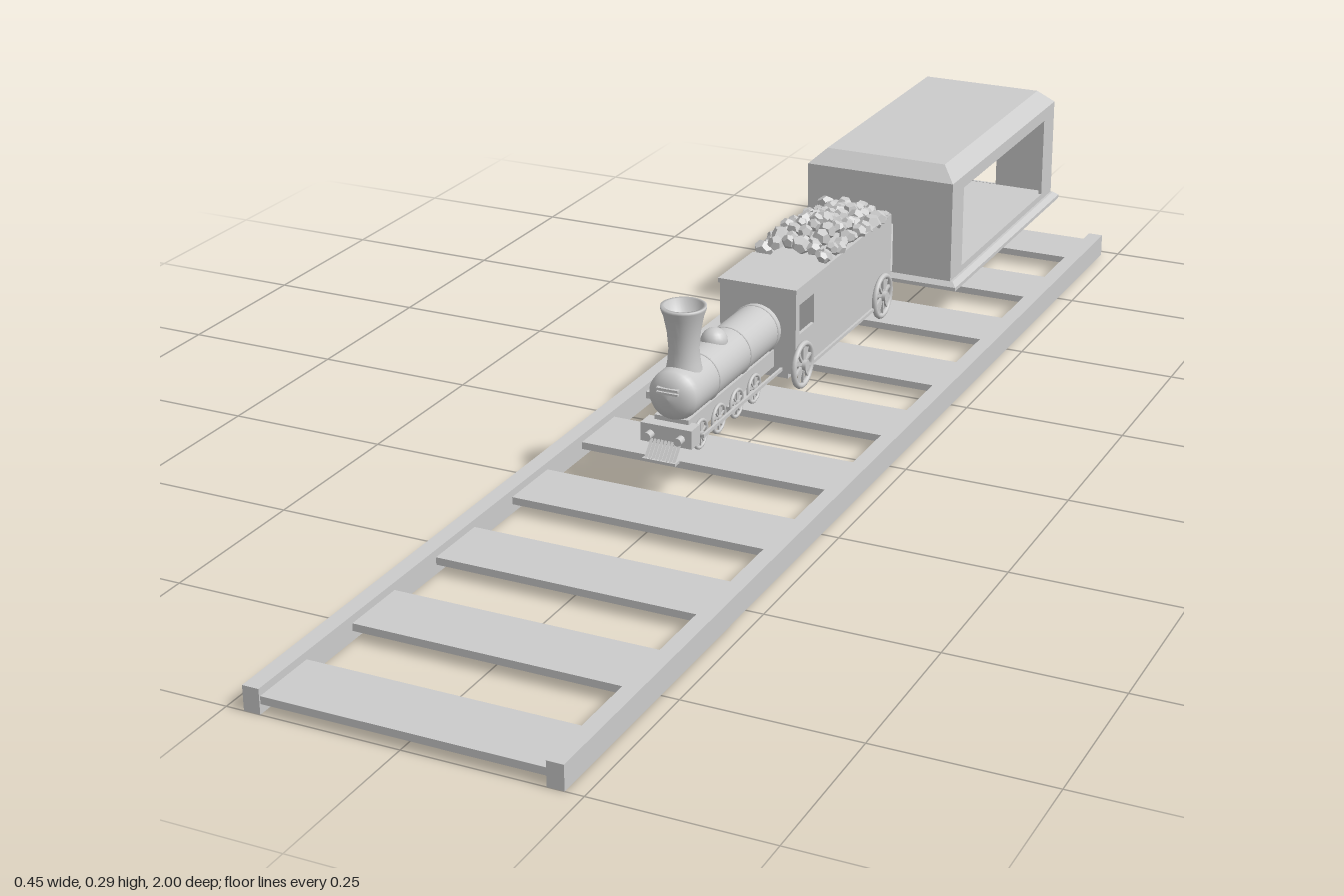
import * as THREE from 'three';

const grey = new THREE.MeshStandardMaterial({ color: 0xcccccc, side: THREE.DoubleSide });
const flat = new THREE.MeshStandardMaterial({ color: 0xcccccc, flatShading: true });

function add(parent, name, geo, x = 0, y = 0, z = 0, mat = grey) {
  const m = new THREE.Mesh(geo, mat);
  m.name = name;
  m.position.set(x, y, z);
  parent.add(m);
  return m;
}

// Box given by its limits
function block(parent, name, x0, x1, y0, y1, z0, z1) {
  return add(parent, name, new THREE.BoxGeometry(x1 - x0, y1 - y0, z1 - z0),
    (x0 + x1) / 2, (y0 + y1) / 2, (z0 + z1) / 2);
}

// Box whose top is inset on all four sides
function taperedBlock(w, h, d, inset) {
  const g = new THREE.BoxGeometry(w, h, d);
  const p = g.attributes.position;
  for (let i = 0; i < p.count; i++) {
    if (p.getY(i) > 0) {
      p.setX(i, p.getX(i) - Math.sign(p.getX(i)) * inset);
      p.setZ(i, p.getZ(i) - Math.sign(p.getZ(i)) * inset);
    }
  }
  g.computeVertexNormals();
  return g;
}

// Thin wall of width w from y0 to y1 with one rectangular hole [u0, u1, v0, v1]
function wallGeometry(w, y0, y1, [u0, u1, v0, v1], t) {
  const rect = (S, a, b, c, d) => new S().moveTo(a, c).lineTo(b, c).lineTo(b, d).lineTo(a, d).closePath();
  const s = rect(THREE.Shape, -w / 2, w / 2, y0, y1);
  s.holes.push(rect(THREE.Path, u0, u1, v0, v1));
  return new THREE.ExtrudeGeometry(s, { depth: t, bevelEnabled: false }).translate(0, 0, -t / 2);
}

function buildTrack() {
  const track = new THREE.Group();
  track.name = 'track';
  for (const s of [-1, 1]) {
    add(track, 'rail', new THREE.BoxGeometry(0.024, 0.036, 1.985), s * 0.212, 0.018, 0.0075);
  }
  for (let i = 0; i < 10; i++) {
    add(track, 'sleeper', new THREE.BoxGeometry(0.402, 0.011, 0.103), 0, 0.0195, -0.932 + i * 0.2087);
  }
  return track;
}

function buildCarriage() {
  const car = new THREE.Group();
  car.name = 'carriage';
  car.position.set(-0.003, 0, -0.745);
  const w = 0.253, d = 0.492, t = 0.005;
  add(car, 'floor', taperedBlock(0.277, 0.007, 0.508, 0.008), 0, 0.098, 0);
  add(car, 'floorEdge', new THREE.BoxGeometry(0.277, 0.006, 0.508), 0, 0.0915, 0);
  add(car, 'floorBase', new THREE.BoxGeometry(0.262, 0.004, 0.494), 0, 0.0875, 0);
  for (const s of [-1, 1]) {
    const side = add(car, 'sideWall', wallGeometry(d, 0.1, 0.267, [-0.195, 0.195, 0.112, 0.246], t), s * (w - t) / 2);
    side.rotation.y = Math.PI / 2;
    add(car, 'endWall', wallGeometry(w, 0.1, 0.267, [-0.025, 0.025, 0.102, 0.185], t), 0, 0, s * (d - t) / 2);
  }
  add(car, 'roof', taperedBlock(w, 0.023, d, 0.024), 0, 0.2785, 0);
  return car;
}

// Spoked wheel standing in the yz plane
function wheel(r, spokes) {
  const g = new THREE.Group();
  g.name = 'wheel';
  const rim = add(g, 'rim', new THREE.TorusGeometry(r * 0.88, r * 0.12, 8, 28));
  rim.rotation.y = Math.PI / 2;
  add(g, 'hub', new THREE.CylinderGeometry(r * 0.22, r * 0.22, r * 0.42, 14)).rotation.z = Math.PI / 2;
  for (let i = 0; i < spokes; i++) {
    const a = (i / spokes) * Math.PI * 2;
    const s = add(g, 'spoke', new THREE.BoxGeometry(r * 0.1, r * 0.8, r * 0.1),
      0, Math.cos(a) * r * 0.45, Math.sin(a) * r * 0.45);
    s.rotation.x = a;
  }
  return g;
}

function buildCoal() {
  const coal = new THREE.Group();
  coal.name = 'coal';
  let seed = 7;
  const rnd = () => (seed = (seed * 16807) % 2147483647) / 2147483647;
  const lump = new THREE.DodecahedronGeometry(1, 0);
  for (let row = 0; row < 15; row++) {
    for (let col = 0; col < 6; col++) {
      const u = (col - 2.5) / 2.5;
      const z = -0.168 - row * 0.0168 + (rnd() - 0.5) * 0.01;
      // Heap is tallest a little behind the cab
      const peak = 0.03 * Math.exp(-(((z + 0.225) / 0.07) ** 2)) + 0.009;
      const r = 0.009 + rnd() * 0.006;
      const m = add(coal, 'lump', lump, u * 0.05 + (rnd() - 0.5) * 0.008,
        0.234 + peak * (1 - 0.75 * u * u) + (rnd() - 0.5) * 0.006, z, flat);
      m.scale.set(r, r * (0.75 + rnd() * 0.3), r * (0.9 + rnd() * 0.3));
      m.rotation.set(rnd() * 6, rnd() * 6, rnd() * 6);
    }
  }
  return coal;
}

function buildEngine() {
  const eng = new THREE.Group();
  eng.name = 'locomotive';
  eng.position.x = -0.008;

  // Boiler with a shallow domed front
  const profile = [[0, 0.262], [0.018, 0.26], [0.031, 0.254], [0.037, 0.245], [0.038, 0.235], [0.038, -0.05]];
  const boiler = add(eng, 'boiler', new THREE.LatheGeometry(profile.map(p => new THREE.Vector2(...p)), 36), 0, 0.166, 0);
  boiler.rotation.x = Math.PI / 2;
  for (const z of [0.17, 0.065, -0.03]) {
    add(eng, 'boilerBand', new THREE.TorusGeometry(0.038, 0.0015, 6, 36), 0, 0.166, z);
  }
  for (const y of [0.176, 0.182]) block(eng, 'doorBar', -0.017, 0.017, y - 0.0015, y + 0.0015, 0.25, 0.264);

  // Flared chimney and steam dome
  const stack = [[0.027, 0.19], [0.024, 0.205], [0.022, 0.225], [0.024, 0.25], [0.029, 0.275], [0.033, 0.286],
    [0.033, 0.29], [0.028, 0.29], [0.022, 0.265], [0, 0.262]];
  add(eng, 'chimney', new THREE.LatheGeometry(stack.map(p => new THREE.Vector2(...p)), 28), 0, 0, 0.208);
  add(eng, 'steamDome', new THREE.SphereGeometry(0.02, 20, 12), 0, 0.2, 0.11);

  // Running frame under the boiler
  block(eng, 'frame', -0.027, 0.027, 0.108, 0.135, -0.05, 0.25);
  block(eng, 'chassis', -0.05, 0.05, 0.092, 0.112, -0.4, -0.04);

  // Front beam, buffers and cowcatcher
  block(eng, 'frontBeam', -0.04, 0.04, 0.1, 0.128, 0.24, 0.268);
  for (const s of [-1, 1]) {
    add(eng, 'buffer', new THREE.CylinderGeometry(0.006, 0.006, 0.014, 14), s * 0.024, 0.113, 0.274).rotation.x = Math.PI / 2;
  }
  for (let i = 0; i < 9; i++) {
    const bar = add(eng, 'cowcatcherBar', new THREE.BoxGeometry(0.003, 0.03, 0.004), (i - 4) * 0.0055, 0.095, 0.278);
    bar.rotation.x = -0.75;
  }
  block(eng, 'cowcatcherFoot', -0.026, 0.026, 0.081, 0.085, 0.278, 0.292);

  // Cab with side windows
  const w = 0.124, t = 0.005;
  for (const s of [-1, 1]) {
    const side = add(eng, 'cabSide', wallGeometry(0.08, 0.1, 0.23, [-0.027, 0.027, 0.16, 0.207], t), s * (w - t) / 2, 0, -0.08);
    side.rotation.y = Math.PI / 2;
  }
  block(eng, 'cabFront', -w / 2, w / 2, 0.1, 0.23, -0.045, -0.04);
  block(eng, 'cabRoof', -0.064, 0.064, 0.229, 0.236, -0.16, -0.037);

  // Tender joined to the cab, filled with coal
  block(eng, 'tender', -w / 2, w / 2, 0.097, 0.228, -0.412, -0.118);
  for (const s of [-1, 1]) {
    block(eng, 'tenderRim', s * 0.0595 - 0.0025, s * 0.0595 + 0.0025, 0.228, 0.235, -0.412, -0.16);
  }
  block(eng, 'tenderBackRim', -w / 2, w / 2, 0.228, 0.235, -0.412, -0.407);
  eng.add(buildCoal());
  block(eng, 'coupling', -0.006, 0.006, 0.112, 0.118, -0.445, -0.4);

  // Large wheels on axles under cab and tender, small wheels under the boiler
  for (const z of [-0.053, -0.365]) {
    add(eng, 'axle', new THREE.CylinderGeometry(0.004, 0.004, 0.145, 10), 0, 0.113, z).rotation.z = Math.PI / 2;
  }
  for (const s of [-1, 1]) {
    for (const [x, y, z, r] of [[0.068, 0.113, -0.053, 0.037], [0.068, 0.113, -0.365, 0.037],
      [0.033, 0.106, 0.225, 0.023], [0.033, 0.106, 0.165, 0.023], [0.033, 0.106, 0.105, 0.023], [0.033, 0.106, 0.045, 0.023]]) {
      const g = wheel(r, 10);
      g.position.set(s * x, y, z);
      eng.add(g);
    }
    block(eng, 'connectingRod', s * 0.039 - 0.002, s * 0.039 + 0.002, 0.103, 0.108, -0.04, 0.23);
    block(eng, 'tenderRod', s * 0.066 - 0.002, s * 0.066 + 0.002, 0.099, 0.104, -0.365, -0.053);
  }
  return eng;
}

export function createModel() {
  const model = new THREE.Group();
  model.name = 'trainOnTrack';
  model.add(buildTrack(), buildCarriage(), buildEngine());
  return model;
}
